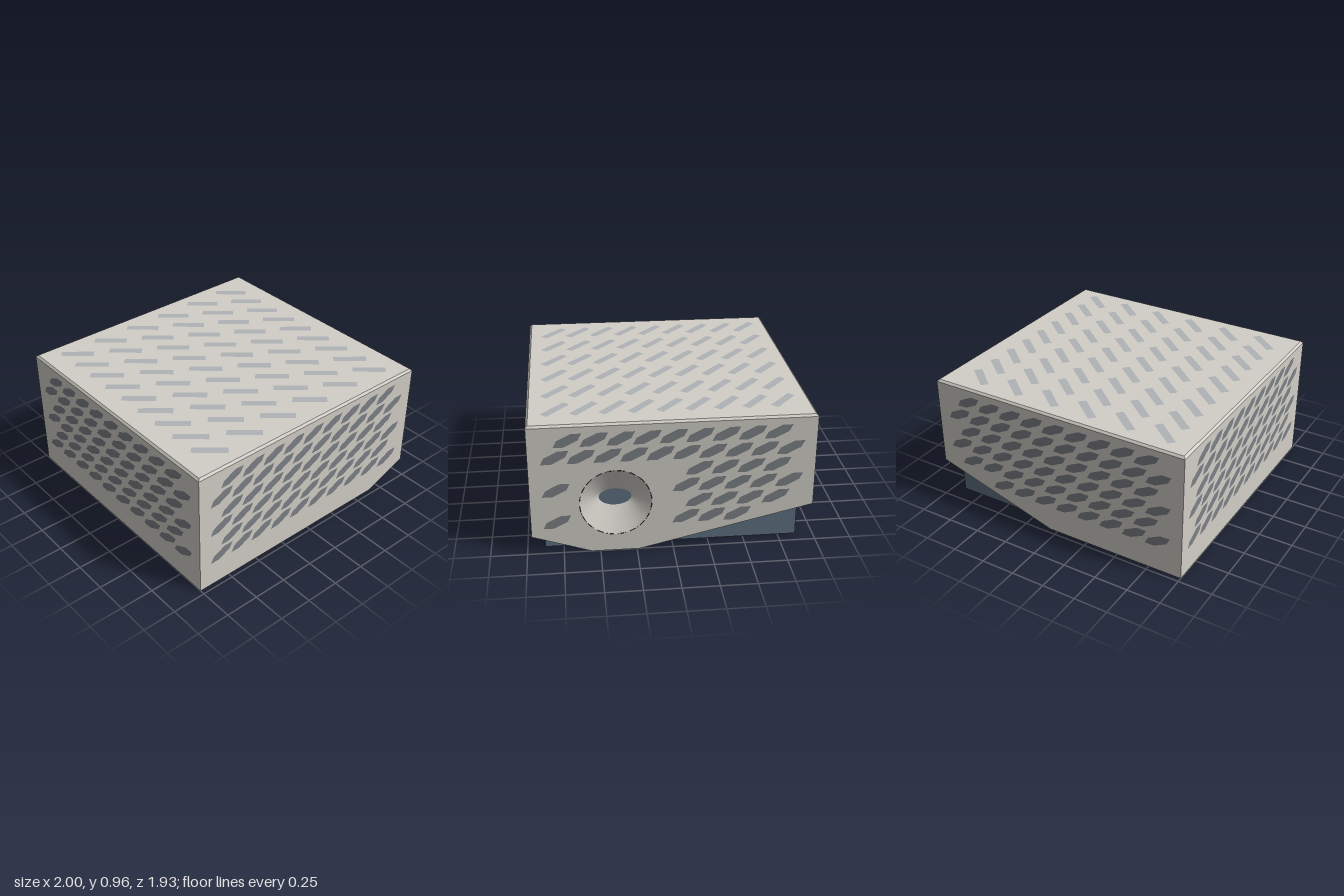
import * as THREE from 'three';
import { ParametricGeometry } from 'three/addons/geometries/ParametricGeometry.js';

const W = 1, D = 0.965, H = 0.945, TOP = 0.96, T = 0.088, BEVEL = 0.015;
const shellMat = new THREE.MeshStandardMaterial({ color: 0xd2cfc8, side: THREE.DoubleSide });
const linerMat = new THREE.MeshStandardMaterial({ color: 0x5f7080, side: THREE.DoubleSide });
const slotMat = new THREE.MeshStandardMaterial({ color: 0x7d8186 });
const topSlotMat = new THREE.MeshStandardMaterial({ color: 0xb0b4b6 });

const toShape = pts => new THREE.Shape(pts.map(p => new THREE.Vector2(...p)));

function add(parent, name, geometry, material) {
  const mesh = new THREE.Mesh(geometry, material);
  mesh.name = name;
  parent.add(mesh);
  return mesh;
}

// Flat convex polygon through 3D points
function facet(parent, name, pts, material) {
  const tri = [];
  for (let i = 1; i < pts.length - 1; i++) tri.push(...pts[0], ...pts[i], ...pts[i + 1]);
  const g = new THREE.BufferGeometry();
  g.setAttribute('position', new THREE.Float32BufferAttribute(tri, 3));
  g.computeVertexNormals();
  return add(parent, name, g, material);
}

// Slanted six-sided slot, repeated in staggered rows
const SLOT = [[-0.095, -0.048], [-0.025, -0.048], [0.07, 0], [0.095, 0.048], [0.025, 0.048], [-0.07, 0]];
function slotShapes(step, keep) {
  const shapes = [];
  for (let row = 0; row < 6; row++) {
    const n = row % 2 ? 10 : 9, y = 0.85 - row * 0.1215;
    for (let i = 0; i < n; i++) {
      const u = (i - (n - 1) / 2) * step;
      if (keep(u, row)) shapes.push(toShape(SLOT.map(([a, b]) => [u + a, y + b])));
    }
  }
  return shapes;
}

// One wall in its own plane: u to the right, v up, facing +z before the turn
function wall(parent, name, profile, angle, distance, step, keep, hole) {
  const g = new THREE.Group();
  g.name = name;
  g.rotation.y = angle;
  const shape = toShape(profile);
  if (hole) shape.holes.push(hole);
  add(g, name + 'Panel', new THREE.ShapeGeometry(shape, 20), shellMat).position.z = distance;
  add(g, name + 'Slots', new THREE.ShapeGeometry(slotShapes(step, keep)), slotMat).position.z = distance + 0.002;
  parent.add(g);
}

// Cut-away lower corner on the +x side: sloped undersides and the liner behind
function cornerNotch(parent, name, s, h, endX, endZ) {
  const g = new THREE.Group();
  g.name = name;
  const xi = W - T, zo = s * D, zi = s * (D - T);
  facet(g, 'slopedEdgeAlongX', [[endX, 0, zo], [W, h, zo], [xi, h, zi], [endX, 0, zi]], shellMat);
  facet(g, 'slopedEdgeAlongZ', [[W, 0, endZ], [W, h, zo], [xi, h, zi], [xi, 0, endZ]], shellMat);
  facet(g, 'linerAlongX', [[endX, 0, zi], [xi, 0, zi], [xi, h, zi]], linerMat);
  facet(g, 'linerAlongZ', [[xi, 0, endZ], [xi, 0, zi], [xi, h, zi]], linerMat);
  parent.add(g);
}

export function createModel() {
  const model = new THREE.Group();
  model.name = 'ventilatedHousing';

  // Four slotted walls, open underneath
  const dish = { z: 0.39, y: 0.37, r: 0.245, rz: 0.112, ry: 0.063 };
  const hole = new THREE.Path().absarc(-dish.z, dish.y, dish.r, 0, Math.PI * 2, true);
  wall(model, 'frontWall', [[-W, 0], [0.66, 0], [W, 0.135], [W, H], [-W, H]], 0, D, 0.181, () => true);
  wall(model, 'rightWall', [[-D, 0.135], [-0.56, 0], [-0.23, 0], [D, 0.285], [D, H], [-D, H]],
    Math.PI / 2, W, 0.175,
    (u, row) => !(row > 1 && u > -0.75 && u < 0.05) && !(row === 5 && u > 0.5), hole);
  wall(model, 'backWall', [[-W, 0.285], [-0.06, 0], [W, 0], [W, H], [-W, H]], Math.PI, D, 0.181,
    (u, row) => !(row === 5 && u < -0.6));
  wall(model, 'leftWall', [[-D, 0], [D, 0], [D, H], [-D, H]], -Math.PI / 2, W, 0.175, () => true);

  // Notched corners on the right side
  cornerNotch(model, 'frontCornerNotch', 1, 0.135, 0.66, 0.56);
  cornerNotch(model, 'backCornerNotch', -1, 0.285, 0.06, 0.23);

  // Recessed dish tapering from a circle to an oval port
  add(model, 'portDish', new ParametricGeometry((u, v, p) => {
    const a = u * Math.PI * 2;
    p.set(W - T * v,
      dish.y + Math.sin(a) * THREE.MathUtils.lerp(dish.r, dish.ry, v),
      dish.z + Math.cos(a) * THREE.MathUtils.lerp(dish.r, dish.rz, v));
  }, 20, 4), shellMat);
  const port = add(model, 'port', new THREE.CircleGeometry(1, 40), linerMat);
  port.scale.set(dish.rz, dish.ry, 1);
  port.rotation.y = Math.PI / 2;
  port.position.set(W - T, dish.y, dish.z);

  // Lid with a narrow bevel
  const rim = (x, y, z) => [[-x, y, z], [x, y, z], [x, y, -z], [-x, y, -z]];
  const low = rim(W, H, D), high = rim(W - BEVEL, TOP, D - BEVEL);
  facet(model, 'lid', high, shellMat);
  for (let i = 0; i < 4; i++) {
    const j = (i + 1) % 4;
    facet(model, 'lidBevel', [low[i], low[j], high[j], high[i]], shellMat);
  }

  // Diagonal slots on the lid
  const bars = [];
  const bar = [[-0.075, 0.1], [-0.115, 0.06], [0.07, -0.1], [0.11, -0.055]];
  for (let c = 0; c < 6; c++) {
    for (let r = 0; r < 9; r++) {
      const x = -0.75 + c * 0.3, v = 0.775 - r * 0.1935;
      bars.push(toShape(bar.map(([a, b]) => [x + a, v + b])));
    }
  }
  const lidSlots = add(model, 'lidSlots', new THREE.ShapeGeometry(bars), topSlotMat);
  lidSlots.rotation.x = -Math.PI / 2;
  lidSlots.position.y = TOP + 0.002;

  return model;
}
